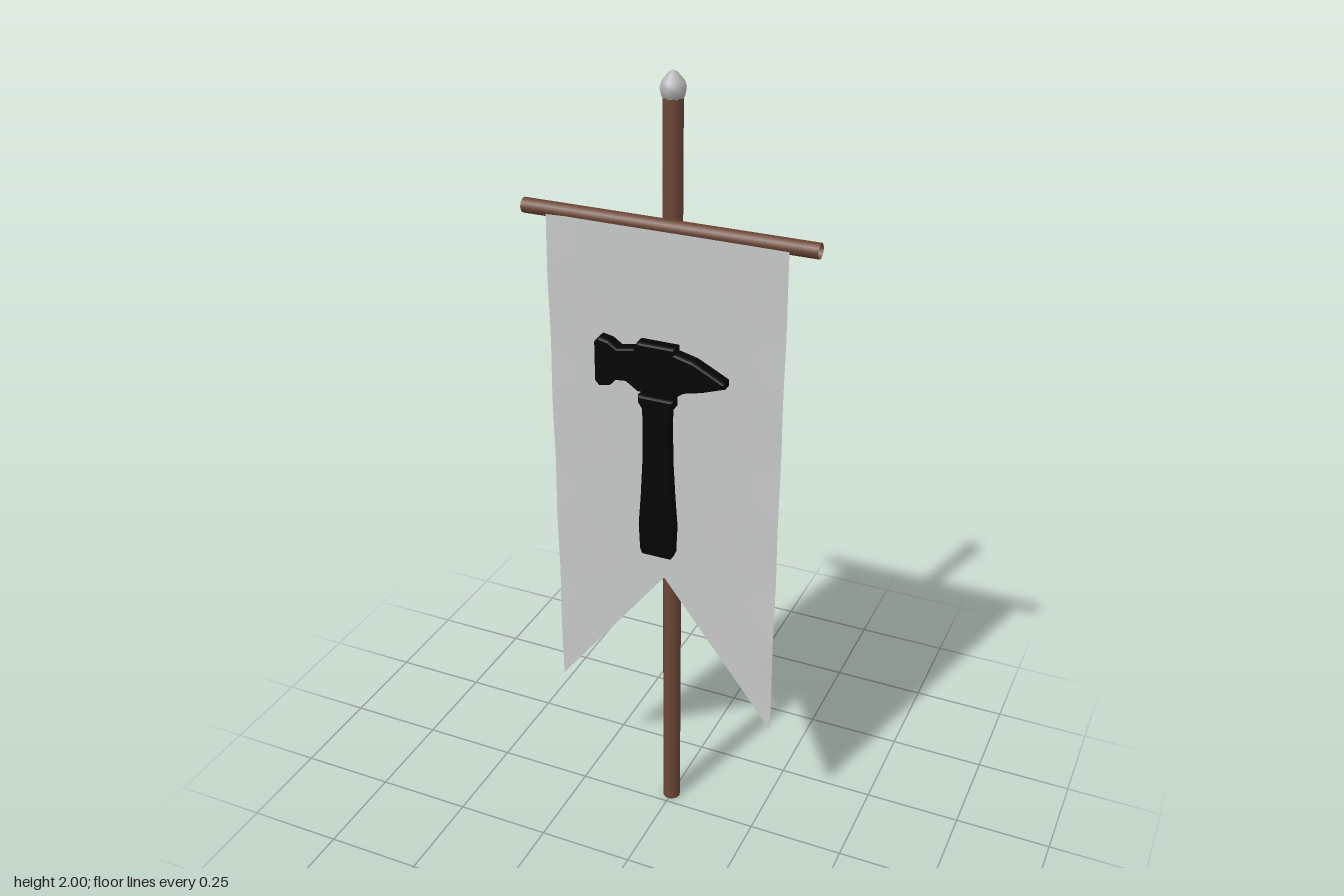
import * as THREE from 'three';

const mat = (name, color, side = THREE.FrontSide) => {
  const m = new THREE.MeshStandardMaterial({ color, side });
  m.name = name;
  return m;
};

export function createModel() {
  const group = new THREE.Group();
  const wood = mat('brown wood', 0x6b4636, THREE.DoubleSide);
  const cloth = mat('pale grey cloth', 0xc6c8c7, THREE.DoubleSide);
  const steel = mat('grey steel', 0xb4b4b4);
  const black = mat('black', 0x050505);

  const add = (name, geometry, material, x = 0, y = 0, z = 0) => {
    const mesh = new THREE.Mesh(geometry, material);
    mesh.name = name;
    mesh.position.set(x, y, z);
    group.add(mesh);
    return mesh;
  };

  // Upright pole with a faceted pointed cap
  const poleZ = -0.035;
  add('pole', new THREE.CylinderGeometry(0.023, 0.023, 1.945, 12), wood, 0, 0.9725, poleZ);
  const capProfile = [[0, 1.935], [0.02, 1.935], [0.028, 1.948], [0.031, 1.963], [0.026, 1.976], [0.01, 1.995], [0, 2]]
    .map(([r, y]) => new THREE.Vector2(r, y));
  add('poleCap', new THREE.LatheGeometry(capProfile, 8), steel, 0, 0, poleZ);

  // Hollow crossbar
  add('crossbar', new THREE.CylinderGeometry(0.018, 0.018, 0.718, 10, 1, true), wood, 0, 1.661, -0.002)
    .rotation.z = Math.PI / 2;

  // Swallow-tailed cloth, with shallow creases towards the side edges
  const half = 0.295;
  const banner = new THREE.PlaneGeometry(half * 2, 1, 16, 30);
  const p = banner.attributes.position;
  for (let i = 0; i < p.count; i++) {
    const x = p.getX(i);
    const t = 0.5 - p.getY(i);
    const edge = Math.abs(x) / half;
    const bottom = 0.745 - 0.385 * edge;
    const y = THREE.MathUtils.lerp(1.655, bottom, t);
    p.setXYZ(i, x, y, 0.015 + 0.002 * edge ** 4 * Math.sin(y * 19 + x * 7));
  }
  banner.computeVertexNormals();
  add('banner', banner, cloth);

  // Hammer emblem: bevelled outlines standing in front of the cloth
  const slab = (points, depth, bevel) => {
    const shape = new THREE.Shape(points.map(([x, y]) => new THREE.Vector2(x, y)));
    const g = new THREE.ExtrudeGeometry(shape, {
      depth: depth - 2 * bevel, bevelEnabled: true, bevelThickness: bevel,
      bevelSize: bevel, bevelOffset: -bevel, bevelSegments: 2,
    });
    return g.translate(0, 0, bevel - depth / 2);
  };
  const head = [
    [-0.155, 1.285], [-0.143, 1.272], [-0.117, 1.278], [-0.105, 1.294], [-0.075, 1.297], [-0.045, 1.277],
    [0.045, 1.275], [0.07, 1.293], [0.115, 1.304], [0.172, 1.324], [0.172, 1.338], [0.135, 1.357],
    [0.095, 1.377], [0.05, 1.388], [0.05, 1.402], [-0.045, 1.402], [-0.055, 1.385],
    [-0.095, 1.377], [-0.117, 1.392], [-0.143, 1.397], [-0.155, 1.383],
  ];
  add('hammerHead', slab(head, 0.034, 0.006), black, 0, 0, 0.05);
  add('hammerCollar', slab([[-0.03, 1.25], [0.03, 1.25], [0.03, 1.29], [-0.03, 1.29]], 0.022, 0.004), black, 0, 0, 0.05);

  // Handle outline, mirrored about its centre line
  const grip = [[0.038, 0.835], [0.044, 0.85], [0.047, 0.92], [0.041, 1.0], [0.036, 1.09],
    [0.034, 1.2], [0.036, 1.235], [0.046, 1.25], [0.045, 1.268]];
  const handle = [...grip, ...grip.map(([x, y]) => [-x, y]).reverse()];
  add('hammerHandle', slab(handle, 0.032, 0.006), black, 0, 0, 0.05);

  return group;
}
